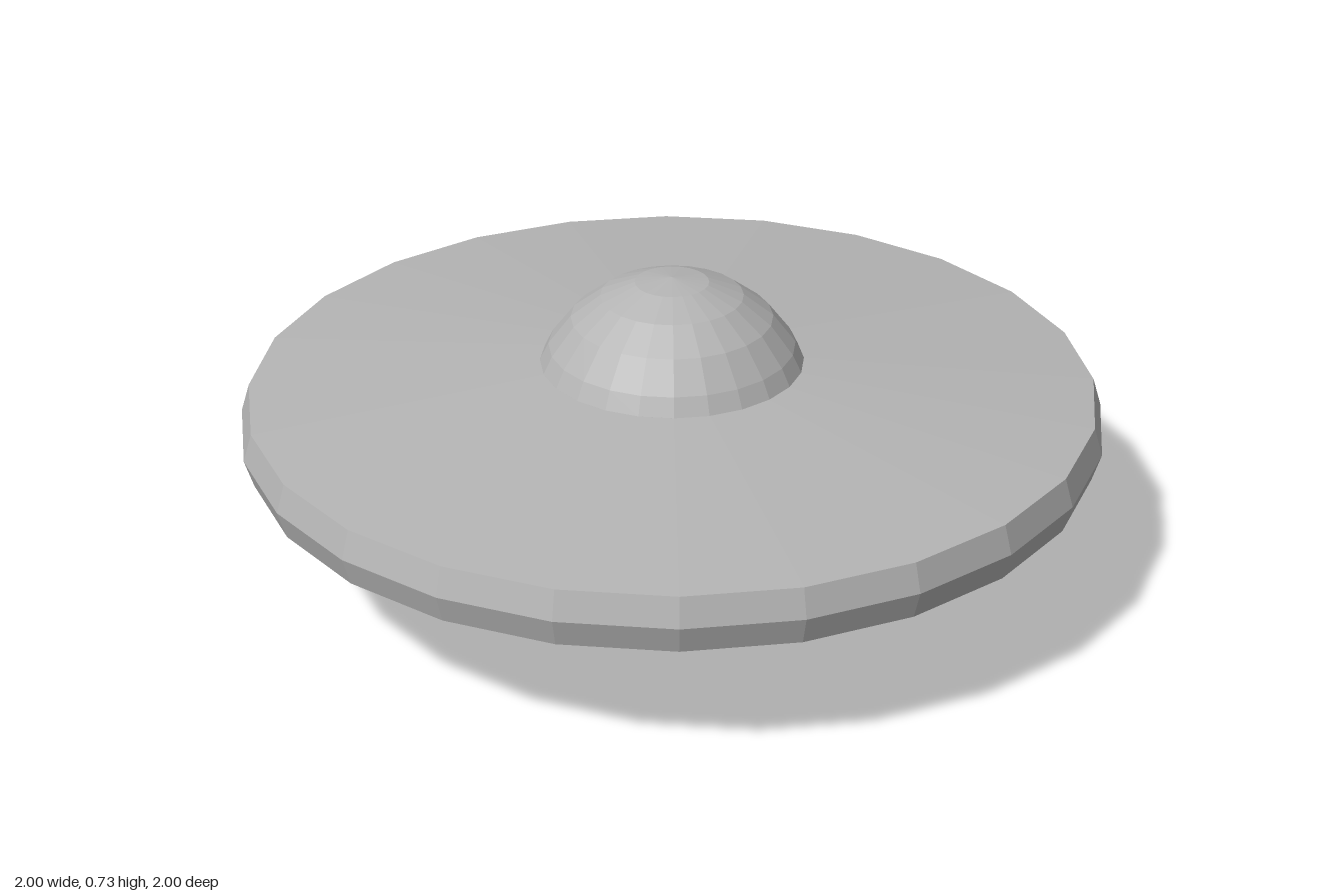
import * as THREE from 'three';

const SIDES = 24;

export function createModel() {
  const model = new THREE.Group();
  model.name = 'flyingSaucer';
  const hullGrey = new THREE.MeshStandardMaterial({ color: 0xb4b4b4, flatShading: true });
  hullGrey.name = 'hull grey';

  // Revolve a profile of [radius, height] pairs, listed from bottom to top
  const revolve = (name, profile) => {
    const points = profile.map(([r, y]) => new THREE.Vector2(r, y));
    const mesh = new THREE.Mesh(new THREE.LatheGeometry(points, SIDES), hullGrey);
    mesh.name = name;
    model.add(mesh);
  };

  // Tapered lower pod with a rounded bottom edge
  revolve('lowerPod', [
    [0, 0], [0.14, 0], [0.16, 0.005], [0.175, 0.018], [0.187, 0.04], [0.305, 0.27],
  ]);

  // Wide disc with a ridged rim
  revolve('disc', [
    [0.305, 0.27], [0.98, 0.33], [1, 0.395], [0.98, 0.46], [0.305, 0.52],
  ]);

  // Dome: cap of a sphere centred inside the disc
  const radius = 0.329, centre = 0.397;
  const dome = [68, 60, 45, 30, 15, 0].map((degrees) => {
    const a = THREE.MathUtils.degToRad(degrees);
    return [radius * Math.sin(a), centre + radius * Math.cos(a)];
  });
  revolve('dome', dome);

  return model;
}
